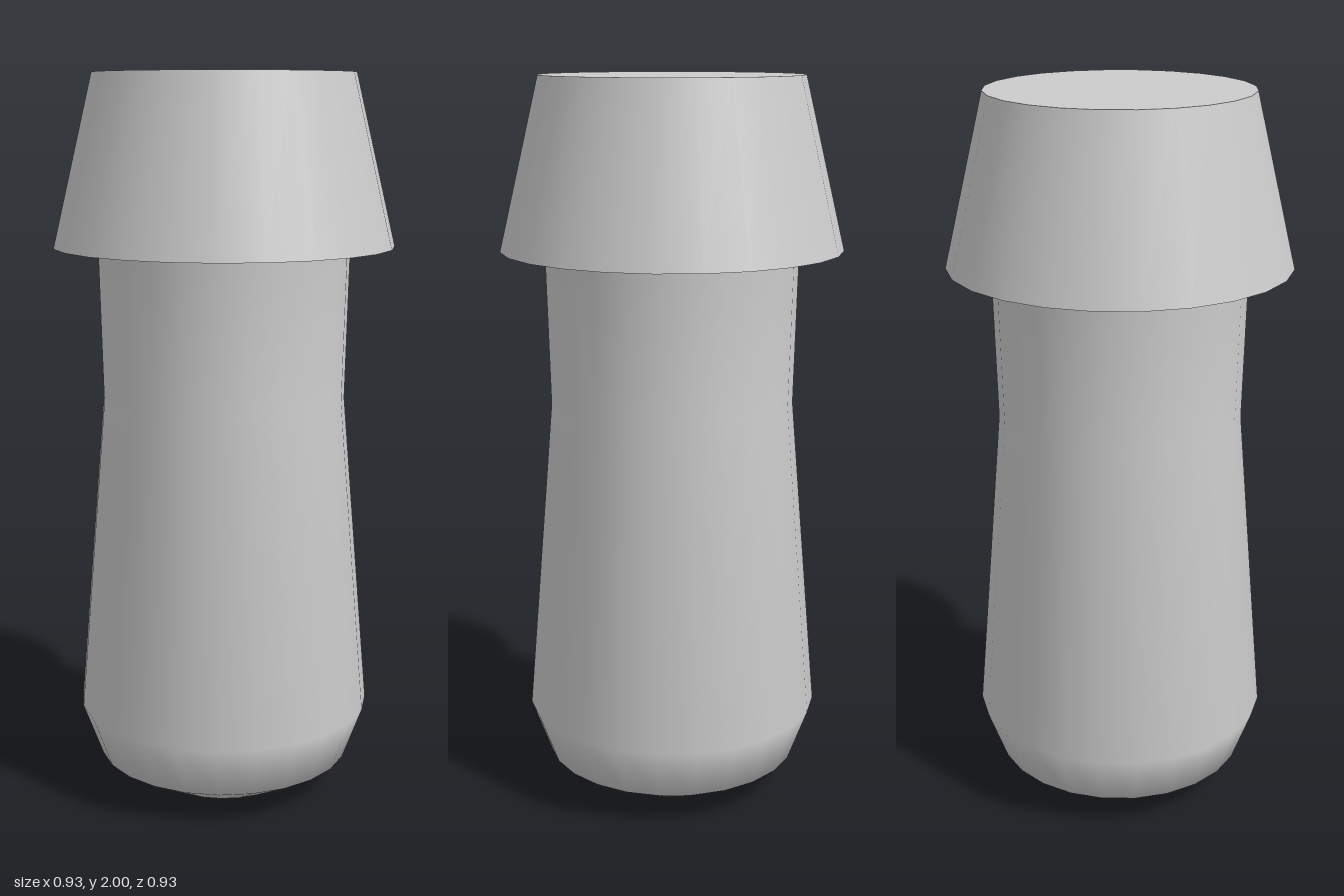
import * as THREE from 'three';

const SIDES = 24;

export function createModel() {
  const model = new THREE.Group();
  const grey = new THREE.MeshStandardMaterial({ color: 0xcccccc });
  const greyThin = new THREE.MeshStandardMaterial({ color: 0xcccccc, side: THREE.DoubleSide });

  const add = (name, geometry, material, y = 0) => {
    const mesh = new THREE.Mesh(geometry, material);
    mesh.name = name;
    mesh.position.y = y;
    model.add(mesh);
    return mesh;
  };

  // Waisted body with a rounded foot, running up inside the cap
  const profile = [
    [0, 0], [0.2, 0.005], [0.355, 0.09], [0.41, 0.24],
    [0.335, 1.12], [0.345, 1.54], [0.35, 1.99],
  ].map(([r, y]) => new THREE.Vector2(r, y));
  add('body', new THREE.LatheGeometry(profile, SIDES), grey);

  // Flared cap skirt, open underneath
  add('capSkirt', new THREE.CylinderGeometry(0.355, 0.465, 0.46, SIDES, 1, true), greyThin, 1.77);

  // Flat lid closing the cap
  add('capTop', new THREE.CircleGeometry(0.355, SIDES).rotateX(-Math.PI / 2), greyThin, 2);

  return model;
}
